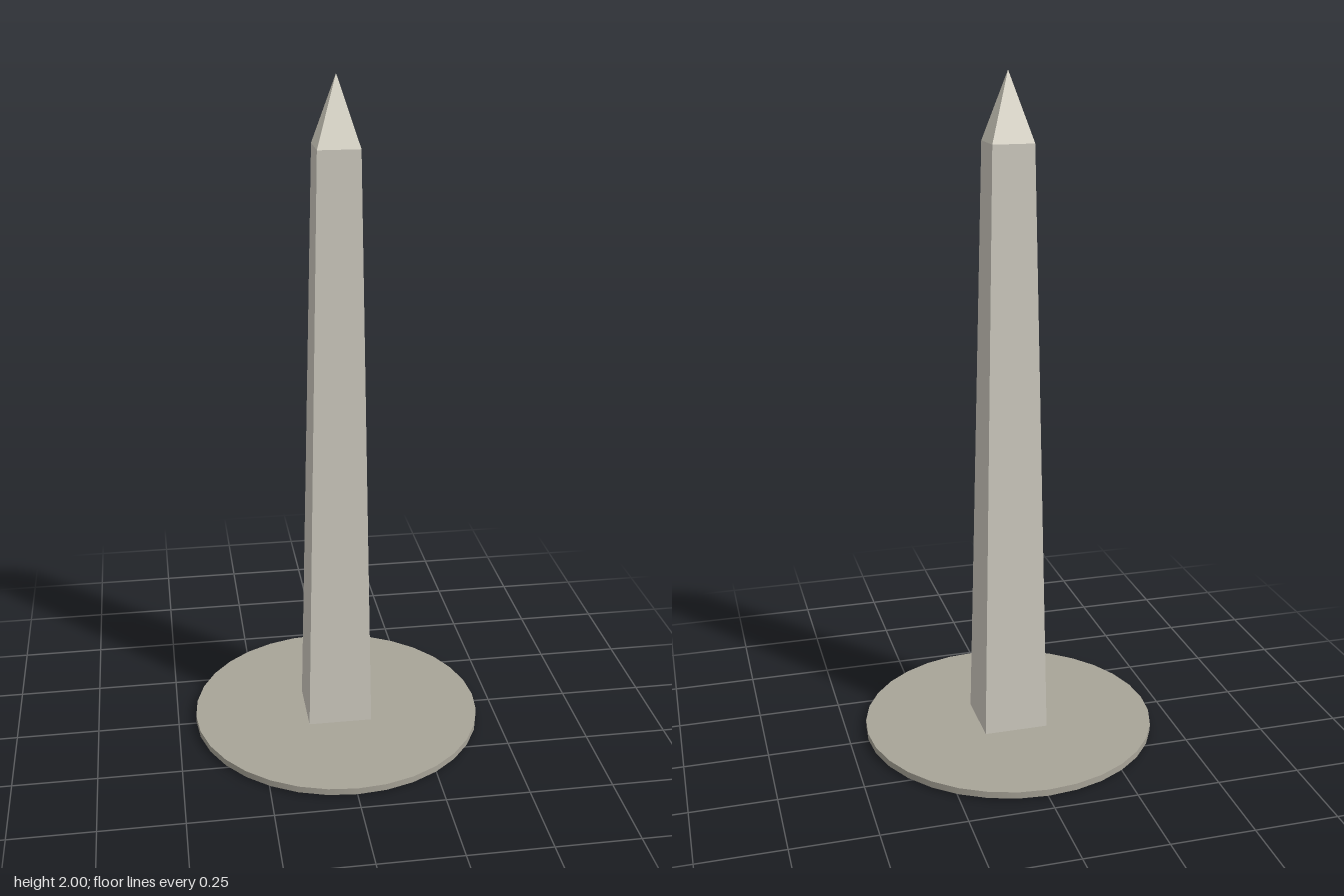
import * as THREE from 'three';

// square tapered prism given half-widths, standing from y0 to y1
function taperedPrism(halfBottom, halfTop, y0, y1) {
  const geo = new THREE.CylinderGeometry(halfTop * Math.SQRT2, halfBottom * Math.SQRT2, y1 - y0, 4);
  geo.rotateY(Math.PI / 4);
  geo.translate(0, (y0 + y1) / 2, 0);
  return geo;
}

export function createModel() {
  const model = new THREE.Group();
  model.name = 'obelisk';

  const add = (name, geometry, color, flatShading) => {
    const mesh = new THREE.Mesh(geometry, new THREE.MeshStandardMaterial({ color, flatShading }));
    mesh.name = name;
    model.add(mesh);
  };

  // round paving slab, the shaft foot pokes slightly below it
  const slab = new THREE.CylinderGeometry(0.445, 0.445, 0.02, 32);
  slab.translate(0, 0.016, 0);
  add('baseDisc', slab, 0xa8a498, false);

  // tapering square shaft
  add('shaft', taperedPrism(0.098, 0.061, 0, 1.805), 0xcfcbc0, true);

  // pointed cap
  add('pyramidCap', taperedPrism(0.061, 0, 1.805, 2), 0xdedacc, true);

  return model;
}
